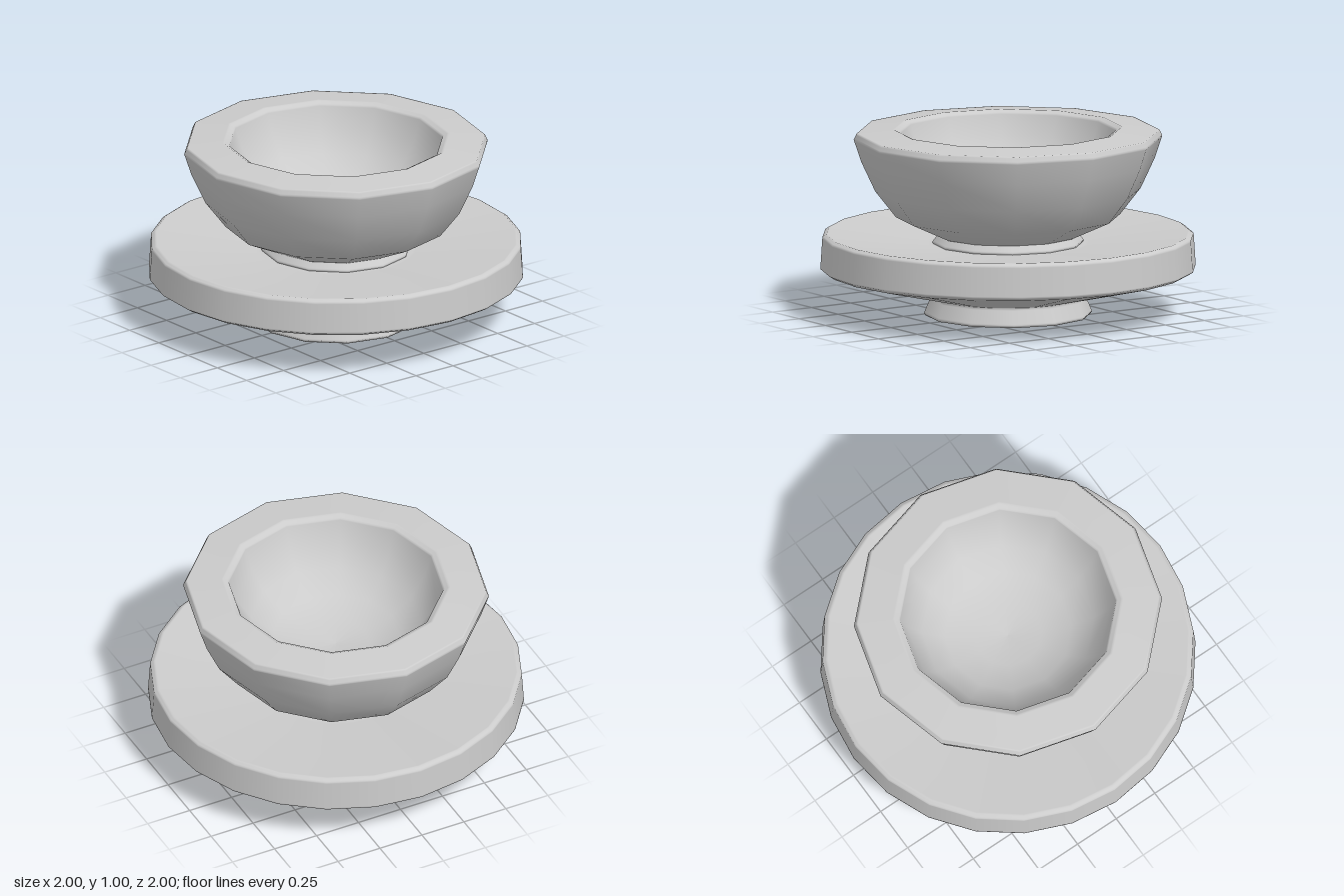
import * as THREE from 'three';

const material = new THREE.MeshStandardMaterial({ color: 0xcccccc });

// Turn a profile (radius, height), from the underside axis, up the outside and back in.
// Holding points beside each corner in `hard` keep the neighbouring faces flat.
function turned(name, sides, profile, hard = []) {
  const pts = profile.map(([r, y]) => new THREE.Vector2(r, y));
  const points = [];
  pts.forEach((p, i) => {
    const hold = (q) => {
      if (q) points.push(p.clone().lerp(q, Math.min(0.3, 0.008 / p.distanceTo(q))));
    };
    if (hard.includes(i)) hold(pts[i - 1]);
    points.push(p);
    if (hard.includes(i)) hold(pts[i + 1]);
  });
  const mesh = new THREE.Mesh(new THREE.LatheGeometry(points, sides), material);
  mesh.name = name;
  return mesh;
}

export function createModel() {
  const group = new THREE.Group();
  group.name = 'bowlOnSaucer';

  // Flared base ring under the saucer
  const saucerFoot = turned('saucerFoot', 12, [
    [0, 0], [0.44, 0], [0.447, 0.012], [0.412, 0.095], [0.42, 0.12],
  ], [1, 2, 3]);

  // Wide saucer with a conical underside, upright edge and shallow dished top
  const saucer = turned('saucer', 24, [
    [0, 0.1], [0.40, 0.1], [0.97, 0.238], [0.998, 0.255],
    [0.987, 0.425], [0.965, 0.44], [0.42, 0.385], [0, 0.385],
  ], [1, 2, 3, 4, 5, 6]);

  // Thick-walled bowl, slightly narrower front to back
  const bowl = new THREE.Group();
  bowl.name = 'bowl';
  bowl.scale.z = 0.98;
  bowl.add(
    turned('bowlFoot', 12, [
      [0, 0.38], [0.40, 0.38], [0.405, 0.395], [0.37, 0.44],
    ], [1, 2]),
    turned('bowlBody', 12, [
      [0, 0.43], [0.38, 0.43], [0.60, 0.53], [0.71, 0.67], [0.785, 0.83],
      [0.825, 0.95], [0.81, 0.982], [0.61, 1.0], [0.58, 0.985],
      [0.54, 0.87], [0.46, 0.75], [0.34, 0.66], [0.18, 0.61], [0, 0.595],
    ], [1, 5, 6, 7, 8]),
  );

  group.add(saucerFoot, saucer, bowl);
  return group;
}
